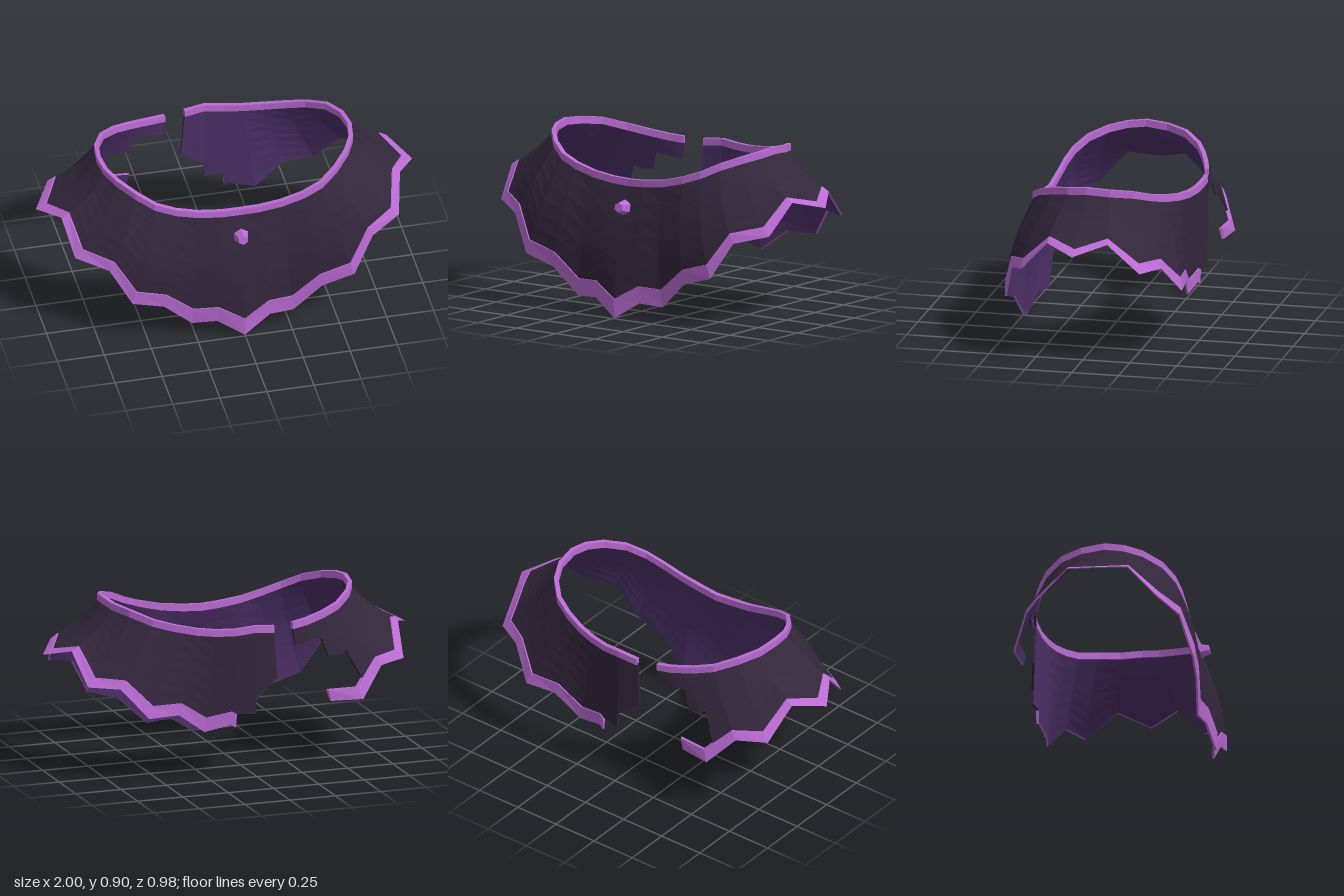
import * as THREE from 'three';

const shell = new THREE.MeshStandardMaterial({ color: 0x32263b });
const lining = new THREE.MeshStandardMaterial({ color: 0x4c3068 });
const trim = new THREE.MeshStandardMaterial({ color: 0xbb6bd4 });

// Neck and hem points from front centre, round the left side, to back centre
const neck = [
  [0, .715, .355], [.1, .72, .36], [.22, .735, .36], [.34, .765, .355], [.44, .8, .335],
  [.53, .845, .28], [.61, .878, .19], [.655, .895, .1], [.67, .905, 0], [.655, .895, -.12],
  [.6, .88, -.23], [.51, .845, -.32], [.41, .82, -.37], [.3, .8, -.41], [.2, .79, -.435],
  [.1, .79, -.455], [0, .8, -.465],
];
const hem = [
  [0, 0, .49], [.14, .09, .46], [.27, .08, .435], [.42, .22, .45], [.59, .27, .455],
  [.7, .46, .4], [.86, .5, .305], [.9, .66, .155], [1, .62, 0], [.9, .67, -.165],
  [.87, .515, -.33], [.72, .51, -.41], [.59, .36, -.49], [.42, .36, -.47], [.27, .25, -.445],
  [.13, .28, -.465], [0, .2, -.49],
];

// Point on a mirrored ring: u runs -16..16, and wraps past the back centre
function column(list, u) {
  if (u > 16) u -= 32;
  const a = Math.abs(u), i = Math.min(Math.floor(a), 15);
  const p = new THREE.Vector3(...list[i]).lerp(new THREE.Vector3(...list[i + 1]), a - i);
  if (u < 0) p.x *= -1;
  return p;
}

function push(p, amount) {
  const n = new THREE.Vector3(p.x, 0, p.z * 2).normalize();
  return p.addScaledVector(n, amount);
}

// Curved wall between neck (t = 0) and hem (t = 1)
function wall(u, t) {
  const a = column(neck, u), b = column(hem, u);
  a.y -= .03;
  const p = a.clone().lerp(b, t), s = Math.sin(Math.PI * t);
  const side = Math.pow(Math.abs(b.x), 4);
  p.z += .035 * s * Math.max(0, b.z / .45);
  p.x -= .02 * s * side * Math.sign(b.x);
  p.y -= .02 * s * side;
  return p;
}

// Sheet with thickness: point(u, s, inner), faceted, in three material groups
function sheet(name, point, u0, u1, rows, outerMat, innerMat, edgeMat) {
  const us = [u0];
  for (let u = Math.floor(u0) + 1; u < u1 - 1e-6; u++) us.push(u);
  us.push(u1);
  const sides = [[], [], []];
  const quad = (out, a, b, c, d) => {
    for (const p of [a, b, c, a, c, d]) out.push(p.x, p.y, p.z);
  };
  const cols = us.map(u => [false, true].map(inner =>
    Array.from({ length: rows + 1 }, (_, j) => point(u, j / rows, inner))));
  for (let i = 0; i < us.length - 1; i++) {
    const [o, n] = cols[i], [o2, n2] = cols[i + 1];
    for (let j = 0; j < rows; j++) {
      quad(sides[0], o[j], o[j + 1], o2[j + 1], o2[j]);
      quad(sides[1], n2[j], n2[j + 1], n[j + 1], n[j]);
    }
    quad(sides[2], n[0], o[0], o2[0], n2[0]);
    quad(sides[2], o[rows], n[rows], n2[rows], o2[rows]);
  }
  const [f, fi] = cols[0], [l, li] = cols[cols.length - 1];
  for (let j = 0; j < rows; j++) {
    quad(sides[2], fi[j], fi[j + 1], f[j + 1], f[j]);
    quad(sides[2], l[j], l[j + 1], li[j + 1], li[j]);
  }
  const geo = new THREE.BufferGeometry();
  geo.setAttribute('position', new THREE.Float32BufferAttribute(sides.flat(), 3));
  let start = 0;
  sides.forEach((s, k) => {
    geo.addGroup(start, s.length / 3, k);
    start += s.length / 3;
  });
  geo.computeVertexNormals();
  const mesh = new THREE.Mesh(geo, [outerMat, innerMat, edgeMat]);
  mesh.name = name;
  return mesh;
}

export function createModel() {
  const group = new THREE.Group();
  group.name = 'collar';

  // Main wall, with torn steps at the back: [from, to, depth at from, depth at to]
  const panels = [
    [-13.8, -12.5, .19, .22],
    [-12.5, -11.7, .44, .47],
    [-11.7, 15.2, .85, .85],
    [15.2, 16, .85, .77],
    [16, 17.1, .63, .53],
  ];
  for (const [u0, u1, d0, d1] of panels) {
    const point = (u, s, inner) => {
      const depth = THREE.MathUtils.lerp(d0, d1, (u - u0) / (u1 - u0));
      return push(wall(u, s * depth), inner ? -.012 : 0);
    };
    group.add(sheet('wallPanel', point, u0, u1, 6, shell, lining, shell));
  }

  // Zigzag hem band, running past the tear on the right
  const hemPoint = (u, s, inner) =>
    push(wall(u, .85 + .15 * s), inner ? -.012 : .006 * (1 - s));
  group.add(sheet('hemTrim', hemPoint, -13, 15.2, 1, trim, lining, trim));

  // Neck band, open at the back
  const neckPoint = (u, s, inner) => {
    const p = column(neck, u);
    p.y -= .037 * s;
    return push(p, inner ? -.015 : .008);
  };
  group.add(sheet('neckTrim', neckPoint, -13.8, 17.1, 1, trim, trim, trim));

  // Front stud
  const stud = new THREE.Mesh(
    new THREE.CylinderGeometry(.026, .042, .055, 6).toNonIndexed(), trim);
  stud.geometry.computeVertexNormals();
  stud.name = 'stud';
  stud.rotation.x = Math.PI / 2 - .15;
  stud.position.set(0, .575, .425);
  group.add(stud);

  return group;
}
